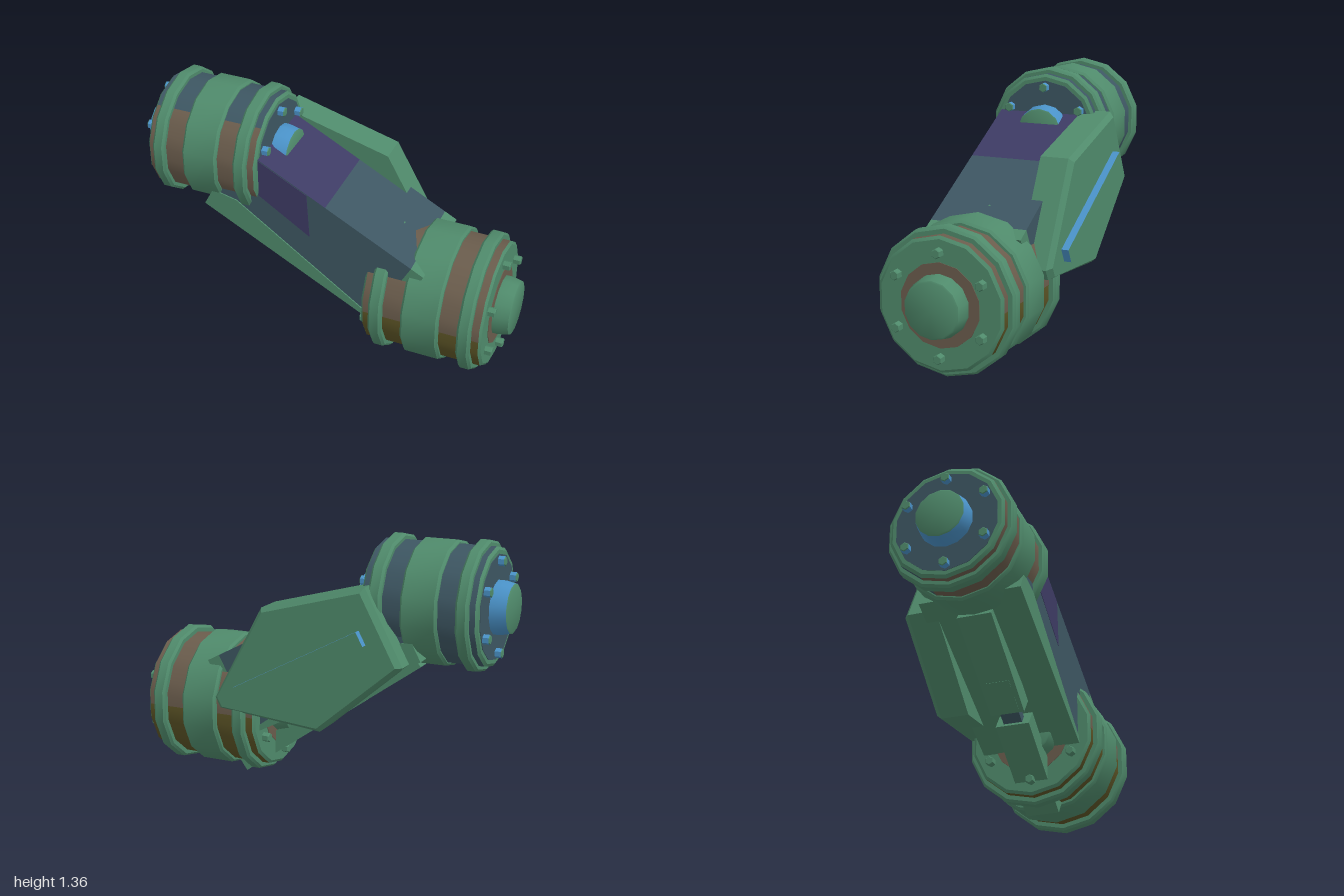
import * as THREE from 'three';
import { toCreasedNormals } from 'three/addons/utils/BufferGeometryUtils.js';

const SIDES = 14, HALF = Math.PI / SIDES, MID_Z = 0.025;
const mat = (name, color) => Object.assign(new THREE.MeshStandardMaterial({ color }), { name });

export function createModel() {
  const model = new THREE.Group();
  model.name = 'jointedArmSegment';
  const green = mat('green', 0x4f8a6b), slate = mat('slate', 0x3d5662), purple = mat('purple', 0x3d3b64);
  const brown = mat('brown', 0x6a5c4c), olive = mat('olive', 0x5c5426), blue = mat('blue', 0x4a92c8);

  const add = (parent, name, geometry, material) => {
    const mesh = new THREE.Mesh(geometry, material);
    mesh.name = name;
    parent.add(mesh);
    return mesh;
  };

  // Turned shape along x with [x, radius] stations and a corner at the top
  const turned = (stations, sides = SIDES) => {
    const points = stations.map(([x, r]) => new THREE.Vector2(r, x));
    const g = new THREE.LatheGeometry(points, sides, Math.PI / 2);
    g.rotateZ(-Math.PI / 2);
    return toCreasedNormals(g, 0.6);
  };

  // Solid bevelled ring from x0 to x1
  const disc = (x0, x1, r, b = 0.012) =>
    turned([[x0, 0], [x0, r - b], [x0 + b, r], [x1 - b, r], [x1, r - b], [x1, 0]]);

  // Part of a drum wall, counted in half facets from the top towards the front
  const wall = (x0, x1, r, start, end) => {
    const g = new THREE.CylinderGeometry(r, r, x1 - x0, end - start, 1, true,
      -Math.PI / 2 + start * HALF, (end - start) * HALF);
    const p = g.attributes.position;
    const row = end - start + 1;
    for (let i = 0; i < p.count; i++) {
      if ((start + (i % row)) % 2 === 0) continue;
      p.setX(i, p.getX(i) * Math.cos(HALF));
      p.setZ(i, p.getZ(i) * Math.cos(HALF));
    }
    g.rotateZ(-Math.PI / 2).translate((x0 + x1) / 2, 0, 0);
    return toCreasedNormals(g, 0.6);
  };

  // Drum joint with body, flanges, band, caps, hubs and bolts
  const drum = (o) => {
    const d = new THREE.Group();
    d.name = o.name;
    d.position.set(0, o.y, MID_Z);
    model.add(d);
    const [x0, x1] = o.span;
    for (const [m, a, b] of o.walls) add(d, 'drumBody', wall(x0 + 0.012, x1 - 0.012, o.r, a, b), m);
    for (const [a, b] of o.flanges) add(d, 'flange', disc(a, b, o.flangeR), green);
    add(d, 'band', disc(...o.band, o.bandR), green);
    for (const [x, s] of [[x0, -1], [x1, 1]]) {
      const end = new THREE.Group();
      end.name = 'drumEnd';
      end.position.x = x;
      if (s < 0) end.rotation.y = Math.PI;
      d.add(end);
      add(end, 'cap', turned([[-0.012, o.r], [0, o.r - 0.015], [0, 0]]), green);
      add(end, 'capInlay', turned([[0, o.inlayR], [0.003, o.inlayR], [0.003, 0]]), o.inlay);
      add(end, 'hub', turned([[0, o.hubR], [0.03, o.hubR], [0.085, o.hubR - 0.012]]), o.accent);
      add(end, 'hubCap', turned([[0.085, o.hubR - 0.012], [0.09, o.hubR - 0.02], [0.09, 0]]), green);
      for (let i = 0; i < 6; i++) {
        const a = i * Math.PI / 3;
        const bolt = new THREE.Group();
        bolt.name = 'bolt';
        bolt.position.set(0, o.boltR * Math.cos(a), o.boltR * Math.sin(a));
        end.add(bolt);
        add(bolt, 'boltSide', turned([[0, 0.025], [0.034, 0.025]], 6), o.accent);
        add(bolt, 'boltFace', turned([[0.034, 0.025], [0.038, 0.021], [0.038, 0]], 6), green);
      }
    }
  };

  drum({
    name: 'upperDrum', y: 1.03, span: [-0.91, -0.31], r: 0.3, flangeR: 0.33, bandR: 0.318,
    flanges: [[-0.87, -0.805], [-0.425, -0.355]], band: [-0.71, -0.52],
    walls: [[brown, 3, 16], [slate, 16, 31]],
    inlay: slate, inlayR: 0.265, hubR: 0.137, boltR: 0.23, accent: blue,
  });
  drum({
    name: 'lowerDrum', y: 0.39, span: [0.27, 0.91], r: 0.335, flangeR: 0.37, bandR: 0.36,
    flanges: [[0.32, 0.39], [0.79, 0.86]], band: [0.49, 0.69],
    walls: [[brown, -7, 7], [olive, 7, 21]],
    inlay: brown, inlayR: 0.21, hubR: 0.155, boltR: 0.257, accent: green,
  });

  // Sloping frame shared by the beam and the back armour
  const arm = new THREE.Group();
  arm.name = 'arm';
  arm.position.set(0, 0.71, 0);
  arm.rotation.z = -Math.atan2(0.64, 1.2);
  model.add(arm);

  // Beam in three lengths, materials ordered +x -x +y -y +z -z
  const beamPart = (name, a, b, materials) => {
    const m = add(arm, name, new THREE.BoxGeometry(b - a, 0.44, 0.52), materials);
    m.position.set((a + b) / 2, 0, MID_Z);
  };
  beamPart('beamUpper', -0.58, -0.06, [slate, green, purple, green, slate, slate]);
  beamPart('beamMiddle', -0.06, 0.46, [slate, slate, slate, green, slate, slate]);
  beamPart('beamTip', 0.46, 0.535, green);

  const outline = (points) => new THREE.Shape(points.map(([x, y]) => new THREE.Vector2(x, y)));
  const slab = (points, depth, z) =>
    new THREE.ExtrudeGeometry(outline(points), { depth, bevelEnabled: false }).translate(0, 0, z);

  // Tapered sill along the lower beam edge and a painted panel on its side
  add(arm, 'beamSill', slab([[-0.58, -0.228], [0.46, -0.228], [0.46, -0.205], [-0.45, -0.085], [-0.58, -0.12]],
    0.532, MID_Z - 0.266), green);
  add(arm, 'sidePanel', slab([[-0.47, 0.215], [-0.17, 0.215], [-0.04, 0.0], [-0.37, 0.03]], 0.004, 0.283), purple);

  // Back armour with a bevelled rear edge
  const half = [[-0.52, 0.215], [0.05, 0.345], [0.53, 0.03]];
  const hex = [...half, ...half.map(([x, y]) => [x, -y]).reverse()];
  const inset = hex.map(([x, y]) => [x * 0.95, y * 0.93]);
  const armour = (loops) => {
    const pos = [];
    for (let l = 0; l < loops.length - 1; l++) {
      for (let i = 0; i < 6; i++) {
        const j = (i + 1) % 6, [p, z0] = loops[l], [q, z1] = loops[l + 1];
        const a = [...p[i], z0], b = [...p[j], z0], c = [...q[j], z1], e = [...q[i], z1];
        pos.push(...a, ...b, ...c, ...a, ...c, ...e);
      }
    }
    const [front, zf] = loops[0], [back, zb] = loops[loops.length - 1];
    for (let i = 1; i < 5; i++) {
      pos.push(...front[0], zf, ...front[i + 1], zf, ...front[i], zf);
      pos.push(...back[0], zb, ...back[i], zb, ...back[i + 1], zb);
    }
    const g = new THREE.BufferGeometry();
    g.setAttribute('position', new THREE.Float32BufferAttribute(pos, 3));
    g.computeVertexNormals();
    return g;
  };
  add(arm, 'backArmour', armour([[hex, -0.175], [hex, -0.325], [inset, -0.352]]), green);

  // Raised rib on the armour
  const rib = add(arm, 'armourRib', new THREE.BoxGeometry(0.785, 0.079, 0.045),
    [blue, blue, blue, blue, green, green]);
  rib.position.set(-0.013, 0, -0.3675);

  // Underside strut: two sleeves joined by a thin rod
  const strut = (name, x, y, length, height, width, material) => {
    const m = add(model, name, new THREE.BoxGeometry(length, height, width), material);
    m.position.set(x, y, MID_Z);
    m.rotation.z = -0.62;
  };
  strut('upperSleeve', -0.29, 0.578, 0.575, 0.1, 0.18, green);
  strut('lowerSleeve', 0.243, 0.21, 0.57, 0.1, 0.18, green);
  strut('strutRod', -0.02, 0.39, 0.3, 0.05, 0.1, slate);
  strut('strutPlate', -0.14, 0.475, 0.17, 0.11, 0.13, green);

  return model;
}
